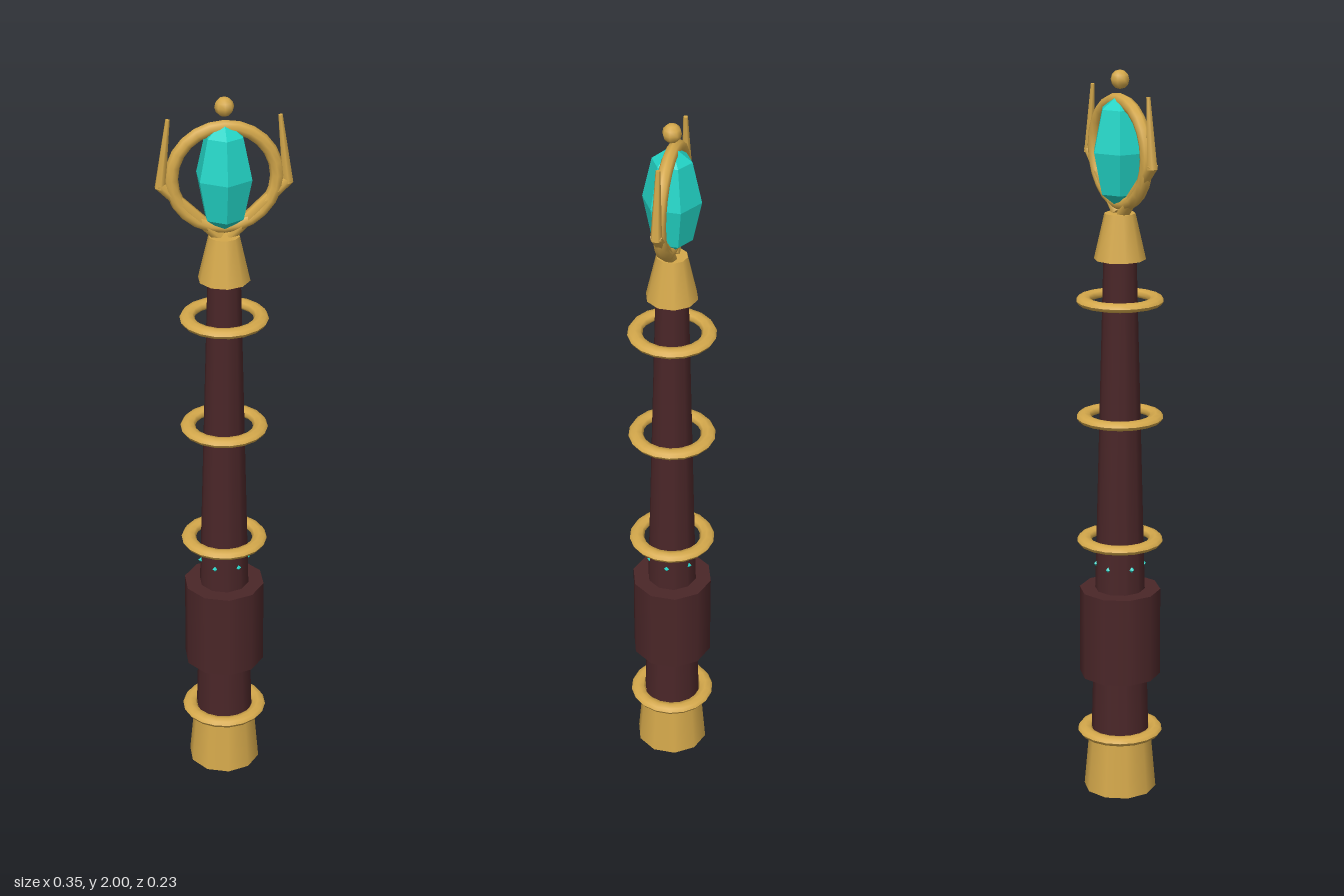
import * as THREE from 'three';

const material = (name, color, flatShading = false) => {
  const m = new THREE.MeshStandardMaterial({ color, flatShading });
  m.name = name;
  return m;
};

export function createModel() {
  const gold = material('gold', 0xd4a84b);
  const wood = material('darkWood', 0x4a2628);
  const teal = material('tealCrystal', 0x22d3c5, true);
  const staff = new THREE.Group();
  staff.name = 'staff';

  const add = (name, geometry, mat, x = 0, y = 0, z = 0) => {
    const mesh = new THREE.Mesh(geometry, mat);
    mesh.name = name;
    mesh.position.set(x, y, z);
    staff.add(mesh);
    return mesh;
  };

  // Ten-sided tapered section between two heights
  const section = (name, mat, y0, y1, r0, r1) =>
    add(name, new THREE.CylinderGeometry(r1, r0, y1 - y0, 10), mat, 0, (y0 + y1) / 2);

  // Round rod between two points in the xy plane
  const rod = (name, a, b, r0, r1) => {
    const dir = new THREE.Vector3(b[0] - a[0], b[1] - a[1], 0);
    const mesh = add(name, new THREE.CylinderGeometry(r1, r0, dir.length(), 6), gold,
      (a[0] + b[0]) / 2, (a[1] + b[1]) / 2);
    mesh.quaternion.setFromUnitVectors(new THREE.Vector3(0, 1, 0), dir.normalize());
  };

  // Pommel, shaft, grip and collar
  section('pommel', gold, 0, 0.17, 0.1, 0.085);
  section('shaft', wood, 0.1, 1.55, 0.081, 0.043);
  section('grip', wood, 0.34, 0.587, 0.111, 0.111);
  section('collar', gold, 1.505, 1.627, 0.069, 0.041);

  // Flattened rings around the shaft
  const ringProfile = [];
  for (let i = 0; i <= 8; i++) {
    const a = (i / 8) * Math.PI * 2;
    ringProfile.push(new THREE.Vector2(0.097 + 0.02 * Math.cos(a), 0.013 * Math.sin(a)));
  }
  const ringGeometry = new THREE.LatheGeometry(ringProfile, 18);
  for (const y of [0.172, 0.727, 1.074, 1.394]) add('shaftRing', ringGeometry, gold, 0, y);

  // Small studs set into the shaft above the grip
  const studGeometry = new THREE.OctahedronGeometry(0.008);
  for (let i = 0; i < 6; i++) {
    const a = (i / 6) * Math.PI * 2;
    add('stud', studGeometry, teal, 0.064 * Math.cos(a), 0.657, 0.064 * Math.sin(a));
  }

  // Upright hoop framing the crystal
  add('hoop', new THREE.TorusGeometry(0.135, 0.018, 8, 24), gold, 0, 1.787);

  // Six-sided faceted crystal
  const crystalProfile = [[0, 1.638], [0.054, 1.68], [0.077, 1.79], [0.052, 1.9], [0, 1.94]]
    .map(([r, y]) => new THREE.Vector2(r, y));
  add('crystal', new THREE.LatheGeometry(crystalProfile, 6), teal);

  // Bent prongs on each side
  for (const s of [-1, 1]) {
    rod('lowerProng', [s * 0.012, 1.625], [s * 0.165, 1.775], 0.017, 0.015);
    rod('upperProng', [s * 0.163, 1.765], [s * 0.142, 1.947], 0.015, 0.006);
  }

  // Finial ball
  add('finial', new THREE.SphereGeometry(0.025, 8, 6), gold, 0, 1.975);

  return staff;
}
